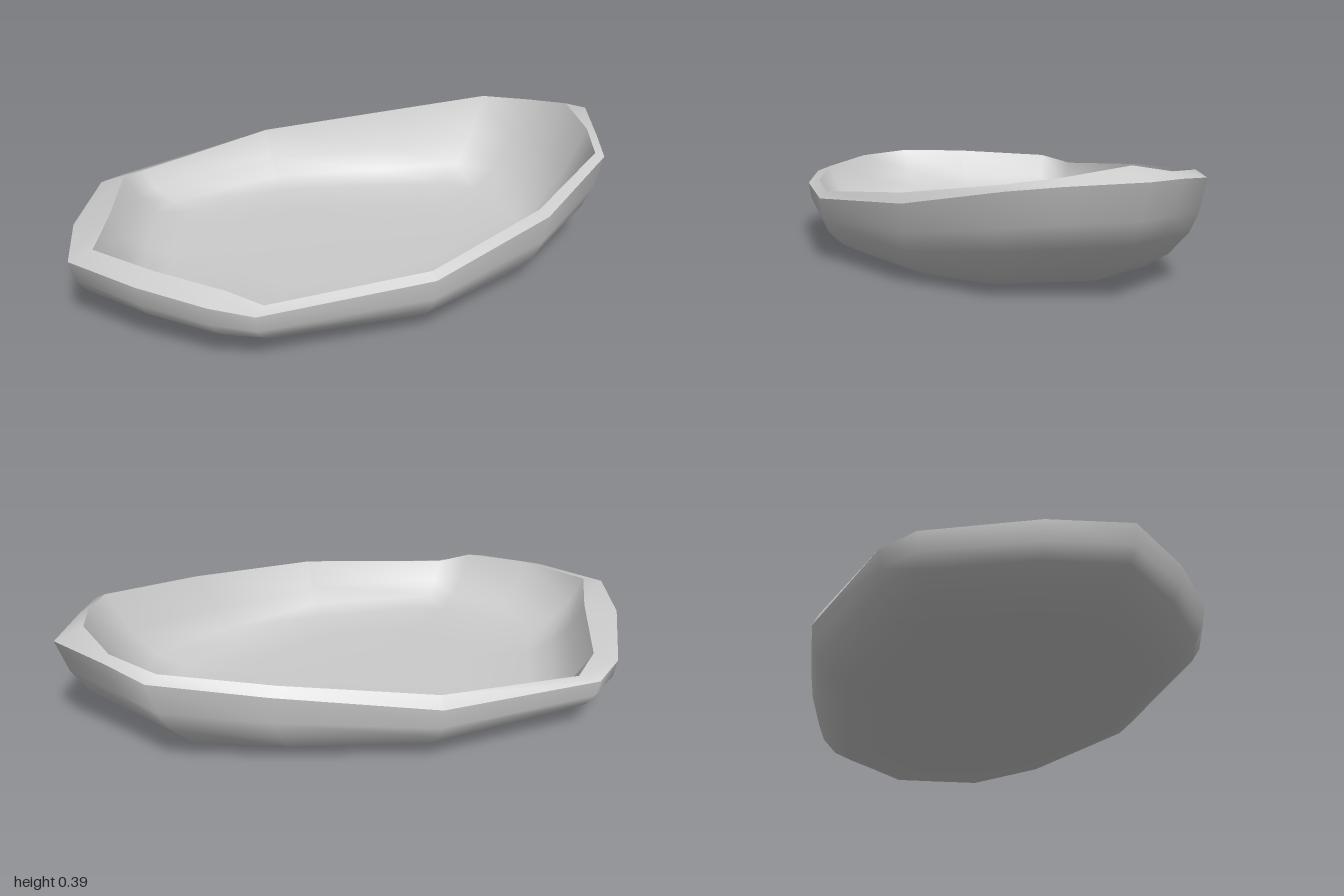
import * as THREE from 'three';

// Stations around the rim: outer x, z, y then inner x, z, y
const rim = [
  [1, 0, 0.365, 0.905, 0, 0.4],
  [0.89, 0.2, 0.35, 0.86, 0.18, 0.372],
  [0.81, 0.34, 0.335, 0.78, 0.325, 0.35],
  [0.45, 0.505, 0.262, 0.42, 0.49, 0.29],
  [-0.05, 0.61, 0.215, -0.05, 0.585, 0.238],
  [-0.6, 0.5, 0.192, -0.56, 0.47, 0.205],
  [-0.72, 0.43, 0.22, -0.65, 0.4, 0.245],
  [-0.87, 0.24, 0.235, -0.8, 0.22, 0.262],
  [-1, 0, 0.24, -0.92, 0, 0.262],
  [-0.91, -0.24, 0.238, -0.8, -0.2, 0.262],
  [-0.72, -0.54, 0.225, -0.65, -0.5, 0.245],
  [-0.61, -0.61, 0.205, -0.55, -0.575, 0.22],
  [-0.05, -0.62, 0.225, -0.05, -0.6, 0.268],
  [0.45, -0.46, 0.29, 0.42, -0.44, 0.315],
  [0.79, -0.325, 0.335, 0.75, -0.31, 0.355],
  [0.88, -0.18, 0.35, 0.86, -0.16, 0.37],
];

// Wall profiles: [horizontal scale, height fraction from base to rim]
const outerProfile = [[1, 1], [0.987, 0.65], [0.955, 0.42], [0.88, 0.19], [0.78, 0.04], [0.5, 0], [0, 0]];
const innerProfile = [[0, 0], [0.5, 0], [0.76, 0.04], [0.86, 0.2], [0.94, 0.5], [1, 1]];

// Gently sagging underside, lowest near the front right
function baseHeight(x, z) {
  const along = x < 0.47 ? 0.033 * (0.47 - x) : 0.08 * (x - 0.47);
  return 0.003 + along + 0.012 * Math.max(0, 0.38 - z);
}

// One closed ring of points following the rim at a given scale and height
function ring(offset, scale, fraction, floorLift) {
  return rim.map((s) => {
    const lean = s[offset] > 0 ? 0.07 * (1 - fraction) : 0;
    const x = s[offset] * Math.max(0, scale - lean * Math.min(1, scale * 2));
    const z = s[offset + 1] * scale;
    const base = baseHeight(x, z) + floorLift;
    return [x, THREE.MathUtils.lerp(base, s[offset + 2], fraction), z];
  });
}

// Smooth surface through successive rings
function loft(name, rings) {
  const n = rim.length;
  const index = [];
  for (let r = 0; r < rings.length - 1; r++) {
    for (let i = 0; i < n; i++) {
      const j = (i + 1) % n;
      const a = r * n + i, b = r * n + j, c = a + n, d = b + n;
      index.push(a, b, c, b, d, c);
    }
  }
  const geometry = new THREE.BufferGeometry();
  geometry.setAttribute('position', new THREE.Float32BufferAttribute(rings.flat(2), 3));
  geometry.setIndex(index);
  geometry.computeVertexNormals();
  const mesh = new THREE.Mesh(geometry, new THREE.MeshStandardMaterial({ color: 0xcccccc, side: THREE.DoubleSide }));
  mesh.name = name;
  return mesh;
}

export function createModel() {
  const group = new THREE.Group();
  group.name = 'dish';
  // Hollow inside, sloping lip and rounded outer hull
  group.add(loft('innerBowl', innerProfile.map(([s, f]) => ring(3, s, f, 0.035))));
  group.add(loft('rimLip', [ring(3, 1, 1, 0), ring(0, 1, 1, 0)]));
  group.add(loft('outerHull', outerProfile.map(([s, f]) => ring(0, s, f, 0))));
  return group;
}
